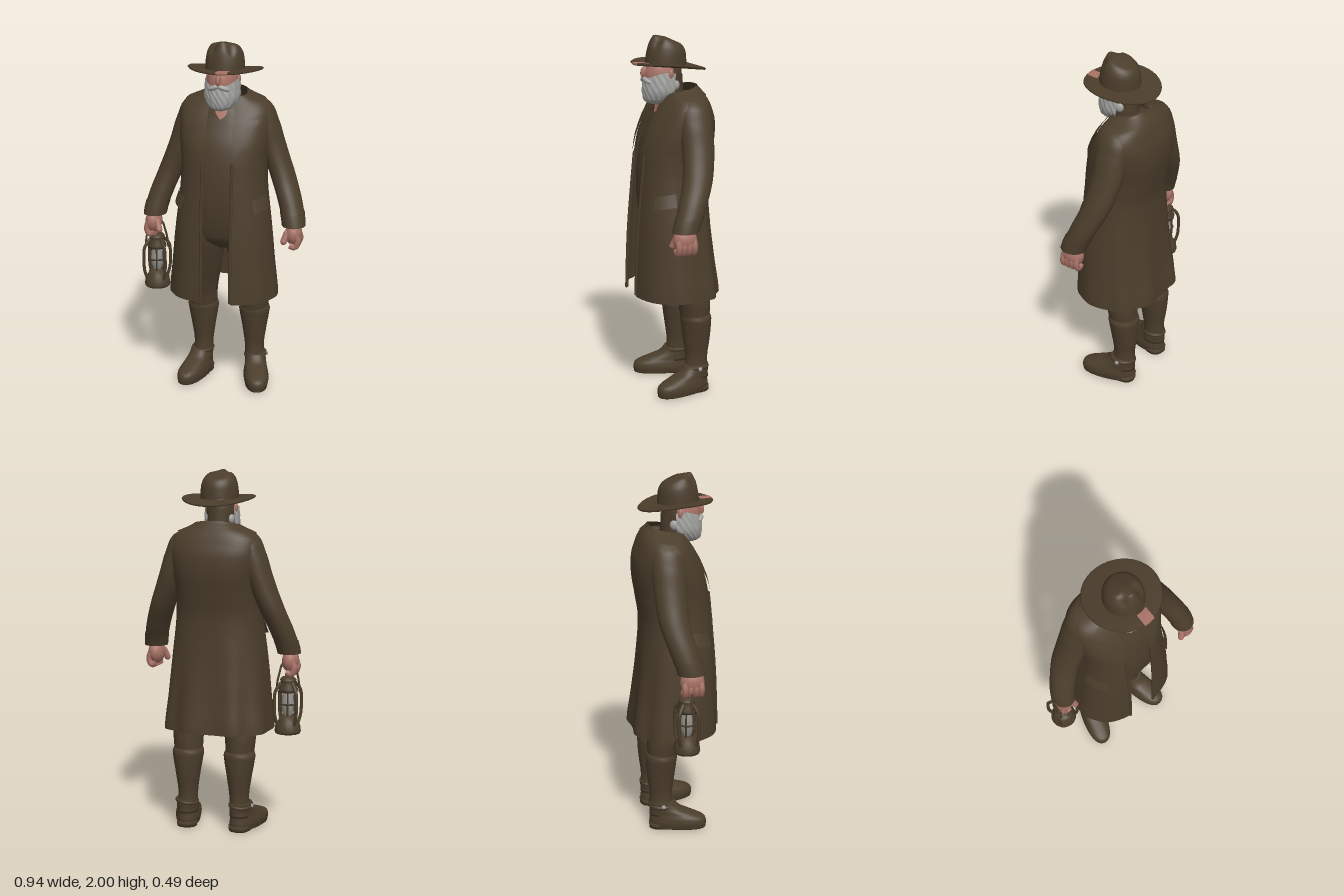
import * as THREE from 'three';
import { mergeVertices } from 'three/addons/utils/BufferGeometryUtils.js';

const mat = (name, color) => {
  const m = new THREE.MeshStandardMaterial({ color, side: THREE.DoubleSide });
  m.name = name;
  return m;
};

// Smooth surface from a grid of points: u runs upward, v runs around
function grid(nu, nv, fn) {
  const pos = [], idx = [];
  for (let i = 0; i <= nu; i++) for (let j = 0; j <= nv; j++) pos.push(...fn(i / nu, j / nv));
  for (let i = 0; i < nu; i++) for (let j = 0; j < nv; j++) {
    const a = i * (nv + 1) + j, c = a + nv + 1;
    idx.push(a, a + 1, c, a + 1, c + 1, c);
  }
  let g = new THREE.BufferGeometry();
  g.setAttribute('position', new THREE.Float32BufferAttribute(pos, 3));
  g.setIndex(idx);
  g = mergeVertices(g, 1e-5);
  g.computeVertexNormals();
  return g;
}

// Cross-section rows [y, cx, cz, rx, rz] sampled smoothly at a height
function at(rows, y) {
  let i = 0;
  while (i < rows.length - 2 && y > rows[i + 1][0]) i++;
  const t = Math.min(1, Math.max(0, (y - rows[i][0]) / (rows[i + 1][0] - rows[i][0])));
  const p0 = rows[Math.max(0, i - 1)], p1 = rows[i], p2 = rows[i + 1], p3 = rows[Math.min(rows.length - 1, i + 2)];
  return p1.map((b, k) => k === 0 ? y : b + 0.5 * t * (p2[k] - p0[k] +
    t * (2 * p0[k] - 5 * b + 4 * p2[k] - p3[k] + t * (3 * (b - p2[k]) + p3[k] - p0[k]))));
}
const sp = (v, e) => Math.sign(v) * Math.abs(v) ** e;
function ring(rows, y, a, e = 1, off = 0) {
  const [, cx, cz, rx, rz] = at(rows, y);
  return [cx + (rx + off) * sp(Math.sin(a), e), y, cz + (rz + off) * sp(Math.cos(a), e)];
}
// Closed body from rows, capped at both ends
function loft(rows, e = 1, nu = 28, nv = 28) {
  const y0 = rows[0][0], y1 = rows[rows.length - 1][0];
  return grid(nu + 2, nv, (u, v) => {
    const k = Math.round(u * (nu + 2));
    const y = y0 + (y1 - y0) * Math.min(1, Math.max(0, (k - 1) / nu));
    if (k === 0 || k === nu + 2) { const r = at(rows, y); return [r[1], y, r[2]]; }
    return ring(rows, y, v * Math.PI * 2, e);
  });
}

// Coat profile: y, half width, front z, back z
const HEM = 0.565;
const coatRows = [
  [HEM, 0.305, 0.24, -0.245], [0.75, 0.287, 0.235, -0.222], [0.95, 0.268, 0.225, -0.2],
  [1.2, 0.24, 0.205, -0.187], [1.35, 0.238, 0.19, -0.208], [1.45, 0.25, 0.168, -0.222],
  [1.55, 0.258, 0.125, -0.218], [1.62, 0.25, 0.085, -0.195], [1.66, 0.215, 0.055, -0.178],
  [1.7, 0.128, 0.035, -0.15], [1.725, 0.098, 0.025, -0.13],
].map(([y, rx, f, b]) => [y, 0, (f + b) / 2, rx, (f - b) / 2]);
const COAT_E = 0.82;
const coatPoint = (y, a, off = 0) => {
  const k = Math.min(1, Math.max(0, (1.1 - y) / 0.5));
  return ring(coatRows, y, a, COAT_E, off + 0.01 * k * Math.sin(9 * a + 1) * Math.sin(a / 2) ** 2);
};
const coatAngle = (y, x) => Math.asin(Math.min(1, (x / at(coatRows, y)[3]) ** (1 / COAT_E)));
// Neckline falls from the nape toward the throat
const neckline = a => 1.725 - 0.018 * (1 + Math.cos(a));

const torsoRows = [
  [0.83, 0, 0, 0.12, 0.05], [0.88, 0, 0, 0.18, 0.13], [1.0, 0, 0, 0.2, 0.168], [1.2, 0, 0, 0.2, 0.178], [1.35, 0, -0.015, 0.2, 0.18],
  [1.45, 0, -0.03, 0.2, 0.172], [1.55, 0, -0.05, 0.18, 0.15], [1.62, 0, -0.05, 0.12, 0.12], [1.68, 0, -0.04, 0.08, 0.085],
];

export function createModel() {
  const brown = mat('brown cloth', 0x4b3d2b);
  const skin = mat('skin', 0xa87266);
  const grey = mat('grey hair', 0xa3a3a0);
  const glass = mat('lamp glass', 0x90908c);
  const model = new THREE.Group();
  const add = (name, geo, m, parent = model, p = [0, 0, 0], s = [1, 1, 1], r = [0, 0, 0]) => {
    const mesh = new THREE.Mesh(geo, m);
    mesh.name = name;
    mesh.position.set(...p); mesh.scale.set(...s); mesh.rotation.set(...r);
    parent.add(mesh);
    return mesh;
  };
  const ball = new THREE.SphereGeometry(1, 20, 14);
  const tube = (pts, r, n = 20) => new THREE.TubeGeometry(
    new THREE.CatmullRomCurve3(pts.map(p => new THREE.Vector3(...p))), n, r, 7);

  // Shirt, bib, open throat and long open coat
  add('shirt', loft(torsoRows, 0.85), brown);
  add('bib', grid(12, 12, (u, v) => ring(torsoRows, 0.98 + 0.42 * u, (v - 0.5) * 0.8, 0.85, 0.001 + 0.007 * Math.min(1, u * 3))), brown);
  add('throat', grid(6, 6, (u, v) => ring(torsoRows, 1.575 + 0.075 * u, (v - 0.5) * 0.8 * u, 0.85, 0.009)), skin);
  add('coat', grid(56, 96, (u, v) => {
    const a0 = coatAngle(HEM + 1.12 * u, 0.082 - 0.012 * u);
    const a = a0 + v * (Math.PI * 2 - 2 * a0);
    return coatPoint(HEM + (neckline(a) - HEM) * u, a);
  }), brown);
  add('collar', grid(6, 40, (u, v) => {
    const a = 0.75 + v * (Math.PI * 2 - 1.5);
    return coatPoint(neckline(a) - 0.045 * (1 - u), a, 0.009);
  }), brown);

  const lapel = [[1.36, 0.08, 0.085], [1.4, 0.078, 0.105], [1.45, 0.075, 0.13], [1.5, 0.075, 0.158], [1.55, 0.075, 0.185],
    [1.575, 0.074, 0.2], [1.582, 0.074, 0.16], [1.61, 0.073, 0.183], [1.65, 0.07, 0.15], [1.69, 0.068, 0.1]];
  for (const s of [1, -1]) {
    const side = s > 0 ? 'left' : 'right';
    add(side + 'Lapel', grid(lapel.length - 1, 8, (u, v) => {
      const [y, x0, x1] = lapel[Math.round(u * (lapel.length - 1))];
      return coatPoint(y, s * coatAngle(y, x0 + (x1 - x0) * v), 0.012);
    }), brown);
    add(side + 'PocketFlap', grid(4, 8, (u, v) =>
      coatPoint(1.08 + 0.07 * u + 0.02 * v, s * (0.8 + 0.6 * v), 0.018 - 0.014 * u)), brown);
    const edge = [...Array(16).keys()].map(i => 0.575 + i * 0.052);
    add(side + 'FrontEdge', tube(edge.map(y => coatPoint(y, s * coatAngle(y, 0.082))), 0.009, 48), brown);
    add(side + 'Strap', grid(8, 3, (u, v) =>
      ring(torsoRows, 1.38 + 0.2 * u, s * (0.22 + 0.14 * v), 0.85, 0.008)), brown);
    add(side + 'ShirtCollar', grid(5, 6, (u, v) =>
      ring(torsoRows, 1.6 + 0.07 * u - 0.03 * v * (1 - u), s * (0.14 + 0.16 * u + 0.5 * v), 0.85, 0.016)), brown);

    // Sleeve and cuff
    const dz = s > 0 ? 0 : -0.04, dx = s > 0 ? 0 : -0.006;
    const sleeve = [
      [1.0, 0.402, 0.065, 0.062, 0.07], [1.1, 0.378, 0.025, 0.066, 0.076], [1.25, 0.322, -0.032, 0.07, 0.082],
      [1.4, 0.264, -0.058, 0.072, 0.088], [1.52, 0.225, -0.06, 0.074, 0.092], [1.6, 0.203, -0.06, 0.066, 0.088],
      [1.64, 0.19, -0.06, 0.058, 0.07], [1.668, 0.165, -0.06, 0.035, 0.04],
    ].map(([y, x, z, rx, rz]) => [y, s * (x + dx), z + dz * Math.max(0, (1.4 - y) / 0.4), rx, rz]);
    add(side + 'Sleeve', loft(sleeve), brown);
    add(side + 'Cuff', grid(2, 28, (u, v) => ring(sleeve, 1.0 + 0.07 * u, v * Math.PI * 2, 1, 0.003)), brown);

    // Hand with curled fingers
    const hand = new THREE.Group();
    hand.name = side + 'Hand';
    hand.position.set(s * 0.397, 0.95, s > 0 ? 0.07 : 0.03);
    model.add(hand);
    add('palm', ball, skin, hand, [s * 0.006, 0.006, 0], [0.046, 0.066, 0.066]);
    for (let i = 0; i < 4; i++) {
      const z = -0.043 + i * 0.029;
      add('finger', tube([[s * 0.024, 0.01, z], [s * 0.036, -0.03, z], [s * 0.02, -0.062, z], [-s * 0.008, -0.052, z]], 0.018, 12), skin, hand);
    }
    add('thumb', new THREE.CapsuleGeometry(0.018, 0.05, 4, 10), skin, hand, [-s * 0.032, -0.008, 0.045], [1, 1, 1], [-0.35, 0, -s * 0.3]);

    // Trouser leg and boot
    const lx = s > 0 ? 0.155 : 0.147;
    add(side + 'TrouserLeg', loft([
      [0.38, lx, -0.09, 0.075, 0.078], [0.46, lx, -0.085, 0.081, 0.085], [0.54, lx, -0.075, 0.087, 0.094],
      [0.7, lx - 0.02, -0.04, 0.098, 0.115], [0.88, 0.108, -0.005, 0.105, 0.137], [1.0, 0.1, 0, 0.095, 0.14],
    ].map(([y, x, ...r]) => [y, s * x, ...r])), brown);
    add(side + 'BootShaft', loft([
      [0.08, lx + 0.005, -0.09, 0.058, 0.072], [0.2, lx, -0.095, 0.055, 0.064], [0.32, lx, -0.095, 0.071, 0.078],
      [0.41, lx, -0.092, 0.086, 0.086], [0.435, lx, -0.09, 0.089, 0.088], [0.455, lx, -0.088, 0.08, 0.082],
    ].map(([y, x, ...r]) => [y, s * x, ...r])), brown);
    const foot = new THREE.Group();
    foot.name = side + 'Foot';
    foot.position.set(s * (lx + 0.008), 0, -0.09);
    foot.rotation.y = s * 0.25;
    model.add(foot);
    add('shoe', loft([
      [0.006, 0, 0.09, 0.066, 0.158], [0.04, 0, 0.09, 0.072, 0.162], [0.068, 0, 0.085, 0.069, 0.154],
      [0.09, 0, 0.06, 0.063, 0.128], [0.12, 0, 0.018, 0.06, 0.09], [0.16, 0, 0, 0.057, 0.07],
    ], 0.85), brown, foot);
    add('heel', loft([[0, 0, -0.01, 0.056, 0.062], [0.03, 0, -0.01, 0.059, 0.064]], 0.8, 2), brown, foot);
    add('ankleFold', new THREE.TorusGeometry(0.056, 0.012, 8, 24), brown, foot, [0, 0.14, 0], [1, 1.15, 1], [Math.PI / 2, 0.12, 0]);
    add('buckle', ball, grey, foot, [s * 0.066, 0.145, 0.015], [0.006, 0.012, 0.012]);
  }

  // Head: skin face, brown hair and nape behind, grey beard
  add('nape', new THREE.CylinderGeometry(0.068, 0.075, 0.17, 20), brown, model, [0, 1.695, 0.005]);
  const headAt = [[0, 1.775, 0.048], [0.084, 0.13, 0.106]];
  add('face', new THREE.SphereGeometry(1, 28, 20, -0.35, Math.PI + 0.7), skin, model, ...headAt);
  add('backHair', new THREE.SphereGeometry(1.015, 20, 20, Math.PI + 0.35, Math.PI - 0.7), brown, model, ...headAt);
  add('nose', ball, skin, model, [0, 1.802, 0.148], [0.014, 0.036, 0.026], [-0.35, 0, 0]);
  const beardRows = [[1.622, 0, 0.085, 0.025, 0.035], [1.645, 0, 0.072, 0.066, 0.08], [1.69, 0, 0.055, 0.092, 0.106],
    [1.74, 0, 0.05, 0.095, 0.108], [1.83, 0, 0.045, 0.088, 0.103]];
  add('beard', grid(20, 64, (u, v) => {
    const a = (v - 0.5) * 4.0, top = 1.764 + 0.035 * Math.sin(a) ** 2;
    if (u === 0) return [0, 1.618, 0.085];
    const y = 1.622 + (top - 1.622) * u;
    return ring(beardRows, y, a, 1, 0.003 * Math.sin(a * 17 + 9 * u) * Math.sin(u * 11 + a * 3));
  }), grey);
  for (const s of [1, -1]) {
    add('moustache', ball, grey, model, [s * 0.027, 1.757, 0.145], [0.036, 0.014, 0.02], [0, s * 0.35, -s * 0.35]);
    add('ear', ball, skin, model, [s * 0.085, 1.79, 0.03], [0.01, 0.026, 0.016]);
    add('sideHair', ball, grey, model, [s * 0.064, 1.73, 0.004], [0.02, 0.03, 0.03]);
  }

  // Wide-brimmed hat
  const hx = 0.01, hz = 0.018;
  const brim = (x, z, h) => {
    const r2 = ((x - hx) / 0.2) ** 2;
    return [x, 1.822 + h + 0.1 * (z - hz) + 0.02 * r2, z];
  };
  const rim = [[0.07, 0], [0.14, 0], [0.198, 0], [0.204, 0.006], [0.198, 0.012], [0.14, 0.012], [0.07, 0.016]];
  add('hatBrim', grid(rim.length - 1, 64, (u, v) => {
    const [r, h] = rim[Math.round(u * (rim.length - 1))], a = v * Math.PI * 2;
    return brim(hx + r * Math.sin(a), hz + r * Math.cos(a), h);
  }), brown);
  const patch = [[0.12, -0.001], [0.2, -0.001], [0.2055, 0.006], [0.2, 0.014], [0.136, 0.016]];
  add('brimPatch', grid(patch.length - 1, 6, (u, v) => {
    const [r, h] = patch[Math.round(u * (patch.length - 1))], x = 0.063 * v;
    return brim(x, hz + Math.sqrt(r * r - (x - hx) ** 2), h);
  }), skin);
  const crown = [[0, 0, 0, 0.106, 0.114], [0.05, 0, -0.003, 0.104, 0.109], [0.09, 0, -0.007, 0.098, 0.102],
    [0.12, 0, -0.01, 0.085, 0.09], [0.14, 0, -0.008, 0.063, 0.07], [0.15, 0, 0, 0.0, 0.0]];
  add('hatCrown', grid(40, 64, (u, v) => {
    const h0 = 0.15 * (1 - (1 - u) ** 2);
    const [x, h, z] = ring(crown, h0, v * Math.PI * 2);
    const dent = 0.04 * Math.exp(-(((Math.abs(x) - 0.05) / 0.024) ** 2) - ((z - 0.07) / 0.03) ** 2);
    return [x + hx, 1.836 + h + h / 0.15 * (0.37 * z - dent), z + 0.034];
  }), brown);

  // Hurricane lantern
  const lamp = new THREE.Group();
  lamp.name = 'lantern';
  lamp.position.set(-0.397, 0.555, 0.003);
  model.add(lamp);
  const lathe = pts => new THREE.LatheGeometry(pts.map(p => new THREE.Vector2(...p)), 24);
  add('lampBase', lathe([[0, 0], [0.069, 0], [0.073, 0.012], [0.068, 0.05], [0.052, 0.07], [0.044, 0.1], [0, 0.1]]), brown, lamp);
  add('lampGlass', lathe([[0.022, 0.1], [0.033, 0.13], [0.036, 0.165], [0.031, 0.2], [0.024, 0.235]]), glass, lamp);
  add('lampCap', lathe([[0, 0.232], [0.052, 0.232], [0.055, 0.25], [0.042, 0.27], [0.042, 0.295], [0.046, 0.3], [0.032, 0.315], [0, 0.322]]), brown, lamp);
  for (let i = 0; i < 6; i++) {
    const a = i * Math.PI / 3 + 0.3, c = Math.cos(a), s = Math.sin(a);
    add('cageWire', tube([[0.04 * c, 0.09, 0.04 * s], [0.044 * c, 0.165, 0.044 * s], [0.04 * c, 0.24, 0.04 * s]], 0.005, 8), brown, lamp);
  }
  add('cageRing', new THREE.TorusGeometry(0.046, 0.005, 6, 24), brown, lamp, [0, 0.165, 0], [1, 1, 1], [Math.PI / 2, 0, 0]);
  for (const s of [1, -1]) for (const t of [1, -1]) {
    add('framePost', tube([[s * 0.048, 0.05, t * 0.042], [s * 0.06, 0.1, t * 0.052], [s * 0.063, 0.17, t * 0.054],
      [s * 0.058, 0.24, t * 0.05], [s * 0.032, 0.285, t * 0.026]], 0.009), brown, lamp);
  }
  add('handle', tube([[-0.062, 0.23, 0.02], [-0.056, 0.29, 0.018], [-0.045, 0.345, 0.016], [-0.034, 0.385, 0.012], [0, 0.395, 0.01],
    [0.034, 0.385, 0], [0.045, 0.345, -0.01], [0.056, 0.29, -0.018], [0.062, 0.23, -0.02]], 0.006, 30), brown, lamp);
  return model;
}
